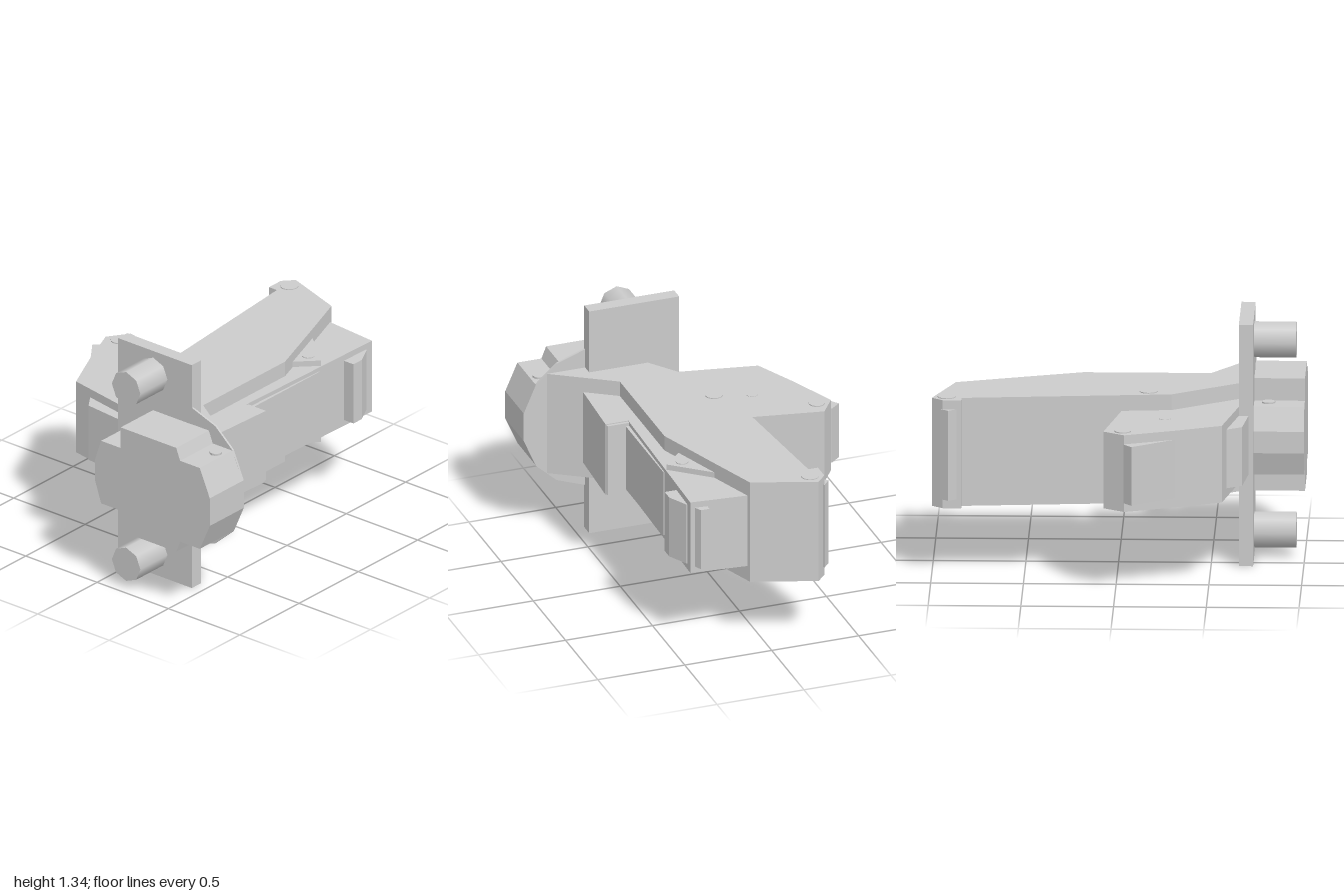
import * as THREE from 'three';

const MID = 0.672; // height of the horizontal mirror plane
const mat = new THREE.MeshStandardMaterial({ color: 0xcccccc, flatShading: true });
const smooth = new THREE.MeshStandardMaterial({ color: 0xcccccc });

function extrude(points, depth) {
  const shape = new THREE.Shape(points.map(([a, b]) => new THREE.Vector2(a, b)));
  return new THREE.ExtrudeGeometry(shape, { depth, bevelEnabled: false });
}

export function createModel() {
  const model = new THREE.Group();

  const add = (name, geometry, material = mat) => {
    const mesh = new THREE.Mesh(geometry, material);
    mesh.name = name;
    model.add(mesh);
    return mesh;
  };
  // Plan outline in (x, z), thickened evenly above and below the mirror plane
  const slab = (name, outline, half) => {
    const g = extrude(outline.map(([x, z]) => [x, -z]), half * 2);
    g.rotateX(-Math.PI / 2);
    g.translate(0, MID - half, 0);
    return add(name, g);
  };
  // Pin running through the model, its heads just proud of both faces
  const pin = (name, x, z, r, half) => {
    const g = new THREE.CylinderGeometry(r, r, half * 2, 12);
    g.translate(x, MID, z);
    return add(name, g);
  };

  // Long tall arm
  slab('mainArm', [
    [-0.27, -1], [0.08, -0.88], [0.18, -0.6], [0.32, -0.2], [0.32, 0.49],
    [0.66, 0.715], [0.14, 0.715], [0.1, 0.65], [-0.16, 0.29], [-0.27, -0.84],
    [-0.325, -0.84], [-0.325, -0.94],
  ], 0.3);
  slab('armTipStrip', [[-0.32, -0.955], [-0.36, -0.91], [-0.325, -0.865], [-0.3, -0.865]], 0.25);

  // Slimmer housing along the right of the arm
  slab('sideHousing', [
    [0.08, -0.86], [0.405, -0.83], [0.38, 0.2], [0.51, 0.2], [0.49, 0.6],
    [0.4, 0.6], [0.2, 0.4], [0.1, -0.3],
  ], 0.213);
  slab('sidePanel', [[0.3, -0.4], [0.4, -0.4], [0.4, 0.19], [0.3, 0.19]], 0.19);
  slab('housingLip', [[0.38, 0.183], [0.505, 0.183], [0.505, 0.21], [0.38, 0.21]], 0.208);
  slab('housingEndCap', [[0.38, -0.8], [0.41, -0.78], [0.467, -0.67], [0.467, -0.6], [0.38, -0.6]], 0.178);
  slab('housingEndStrip', [[0.31, -0.82], [0.31, -0.872], [0.36, -0.872], [0.385, -0.82]], 0.178);
  slab('cornerBracket', [[0.18, -0.6], [0.39, -0.42], [0.28, -0.31]], 0.245);

  // Angled block on the left
  slab('angledBlock', [
    [-0.1, 0.035], [-0.19, 0.02], [-0.65, -0.065], [-0.73, 0.05], [-0.62, 0.32],
    [-0.505, 0.57], [-0.08, 0.65], [0.12, 0.66],
  ], 0.213);
  slab('blockSideStrip', [[-0.72, 0.05], [-0.735, 0.045], [-0.79, 0.09], [-0.62, 0.32], [-0.6, 0.3]], 0.163);
  slab('blockLowerStrip', [[-0.41, 0.56], [-0.33, 0.675], [-0.07, 0.703], [-0.07, 0.63]], 0.163);

  // Pins
  pin('armTipPin', -0.25, -0.92, 0.05, 0.305);
  pin('armMiddlePin', -0.1, 0.165, 0.05, 0.305);
  pin('blockCornerPin', -0.645, 0.04, 0.045, 0.219);
  pin('blockCentrePin', -0.355, 0.26, 0.032, 0.215);
  pin('bracketPin', 0.3, -0.42, 0.035, 0.25);

  // Mounting plate with a rounded flange on one side
  const plate = extrude([[-0.08, 0], [0.437, 0], [0.437, 1.34], [-0.08, 1.34]], 0.077);
  plate.translate(0, 0, 0.65);
  add('mountingPlate', plate);
  const mirrored = (half) => [
    ...half.map(([x, h]) => [x, MID + h]),
    ...half.slice().reverse().map(([x, h]) => [x, MID - h]),
  ];
  const flange = extrude(mirrored([
    [0.2, 0.41], [0.437, 0.41], [0.6, 0.352], [0.72, 0.245], [0.79, 0.083],
  ]), 0.012);
  flange.translate(0, 0, 0.713);
  add('flange', flange);

  // Faceted front drum
  const drum = extrude(mirrored([
    [-0.015, 0.06], [0.028, 0.188], [0.165, 0.188], [0.165, 0.312], [0.555, 0.312],
    [0.582, 0.243], [0.72, 0.243], [0.79, 0.083],
  ]), 0.28);
  drum.translate(0, 0, 0.72);
  add('frontDrum', drum);
  pin('drumRightPin', 0.67, 0.805, 0.034, 0.254);
  pin('drumLeftPin', 0.12, 0.805, 0.036, 0.196);

  // Pegs above and below the drum
  for (const [name, y] of [['upperPeg', 1.2], ['lowerPeg', 0.144]]) {
    const g = new THREE.CylinderGeometry(0.1, 0.1, 0.24, 8);
    g.rotateX(Math.PI / 2);
    g.translate(0.166, y, 0.835);
    add(name, g, smooth);
  }
  return model;
}
